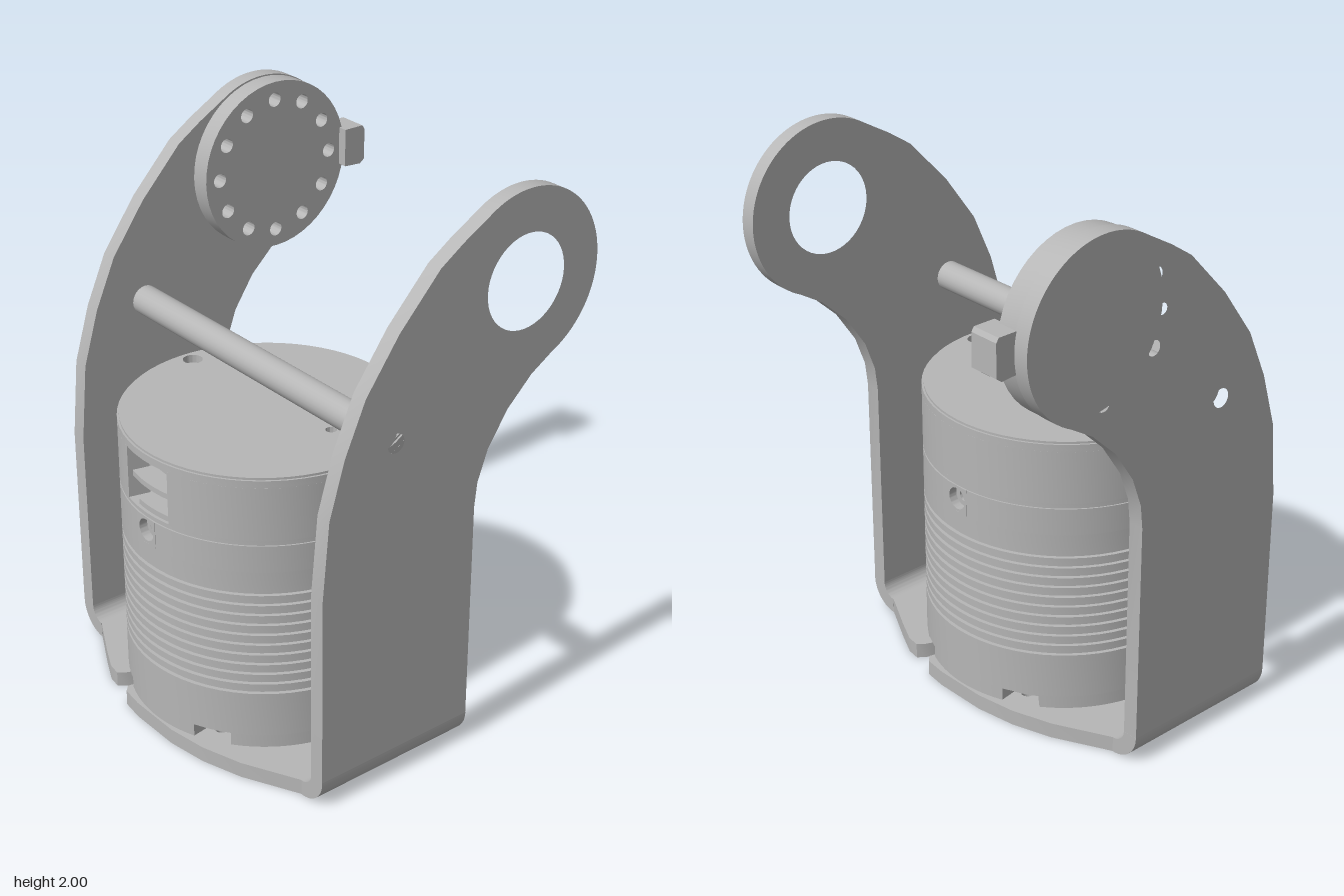
import * as THREE from 'three';
import { toCreasedNormals } from 'three/addons/utils/BufferGeometryUtils.js';

const CX = -0.197;            // axis of the motor and base
const R = 0.497;              // motor radius
const T = 0.058;              // bracket thickness
const PIVOT = [0.305, 1.685]; // arm pivot

export function createModel() {
  const root = new THREE.Group();
  const grey = new THREE.MeshStandardMaterial({ color: 0xb6b6b6 });
  grey.name = 'metal grey';

  const add = (name, geo, parent = root) => {
    const mesh = new THREE.Mesh(toCreasedNormals(geo, 0.5), grey);
    mesh.name = name;
    parent.add(mesh);
    return mesh;
  };
  const extrude = (shape, depth, seg = 24) =>
    new THREE.ExtrudeGeometry(shape, { depth, bevelEnabled: false, curveSegments: seg });
  // plan shape (x, z) raised from y0 to y1
  const slab = (shape, y0, y1, seg = 32) =>
    extrude(shape, y1 - y0, seg).rotateX(Math.PI / 2).translate(0, y1, 0);
  const poly = (pts) => new THREE.Shape(pts.map((p) => new THREE.Vector2(...p)));
  const disc = (x, y, r) => new THREE.Shape().absarc(x, y, r, 0, Math.PI * 2, false);
  const hole = (shape, x, y, r) =>
    shape.holes.push(new THREE.Path().absarc(x, y, r, 0, Math.PI * 2, true));
  const polarHole = (shape, x, y, rad, deg, r) => {
    const a = THREE.MathUtils.degToRad(deg);
    hole(shape, x + rad * Math.cos(a), y + rad * Math.sin(a), r);
  };

  // ---- Curved bracket arms ----
  const armShape = () => {
    const s = poly([
      [0.12, 0.11], [-0.515, 0.11], [-0.515, 0.82], [-0.49, 1.1], [-0.43, 1.3], [-0.35, 1.48],
      [-0.22, 1.66], [-0.06, 1.83], [0.03, 1.89],
    ]);
    s.absarc(...PIVOT, 0.315, 2.14, -1.13, true);
    [[0.35, 1.345], [0.25, 1.25], [0.17, 1.13], [0.13, 1.02], [0.12, 0.93]]
      .forEach((p) => s.lineTo(...p));
    hole(s, -0.225, 1.285, 0.034);
    return s;
  };
  const front = armShape();
  hole(front, ...PIVOT, 0.165);
  add('frontArm', extrude(front, T).translate(0, 0, 0.71 - T));

  const back = armShape();
  [30, 90, 150, 210, 270, 330].forEach((d) => polarHole(back, ...PIVOT, 0.245, d, 0.027));
  [60, 180].forEach((d) => polarHole(back, ...PIVOT, 0.245, d, 0.02));
  add('backArm', extrude(back, T).translate(0, 0, -0.71));

  // Drive disc and its plug on the back arm
  const boss = disc(0.31, 1.685, 0.31);
  for (let i = 0; i < 12; i++) polarHole(boss, ...PIVOT, 0.245, i * 30, 0.026);
  add('driveDisc', extrude(boss, 0.072).translate(0, 0, -0.652));
  const plug = poly([[0.6, 1.62], [0.67, 1.615], [0.69, 1.63], [0.69, 1.745], [0.68, 1.76], [0.6, 1.76]]);
  add('sidePlug', extrude(plug, 0.11).translate(0, 0, -0.655));

  // Cross rod with bored ends
  const rod = [[0, -0.55], [0.024, -0.55], [0.024, -0.652], [0.053, -0.652],
    [0.053, 0.652], [0.024, 0.652], [0.024, 0.55], [0, 0.55]].map((p) => new THREE.Vector2(...p));
  add('crossRod', new THREE.LatheGeometry(rod, 24).rotateX(Math.PI / 2).translate(-0.225, 1.285, 0));

  // ---- Base plate and bends, centred on the motor axis ----
  const base = new THREE.Group();
  base.name = 'base';
  base.position.x = CX;
  root.add(base);
  const half = [
    [0.317, -0.6], [0.42, -0.4], [0.47, -0.25], [0.495, -0.1], [0.497, 0.1], [0.487, 0.185],
    [0.465, 0.208], [0.385, 0.19], [0.37, 0.23], [0.39, 0.265], [0.425, 0.28], [0.45, 0.3],
    [0.443, 0.35], [0.4, 0.44], [0.317, 0.6],
  ];
  const plate = poly([...half, ...half.map(([x, z]) => [-x, -z])]);
  hole(plate, 0, 0, 0.33);
  [78, 102, 258, 282, 52, 232, 150, 330].forEach((d) => polarHole(plate, 0, 0, 0.41, d, 0.024));
  add('basePlate', slab(plate, 0, T), base);

  for (const turn of [0, Math.PI]) {
    const bend = new THREE.Shape();
    bend.absarc(0.6, 0.11, 0.11, -Math.PI / 2, 0, false);
    bend.absarc(0.6, 0.11, 0.11 - T, 0, -Math.PI / 2, true);
    const g = extrude(bend, 0.635, 12).rotateY(-Math.PI / 2).translate(0.3175, 0, 0);
    add('bend', g, base).rotation.y = turn;
  }

  // ---- Motor ----
  const motor = new THREE.Group();
  motor.name = 'motor';
  motor.position.x = CX;
  root.add(motor);

  // Mounting ring seen through the base
  const ring = disc(0, 0, 0.29);
  hole(ring, 0, 0, 0.14);
  for (let i = 0; i < 10; i++) polarHole(ring, 0, 0, 0.215, i * 36 + 18, 0.018);
  add('mountingRing', slab(ring, 0.018, 0.064), motor);

  // Foot with four screw recesses
  const foot = [];
  for (let i = 0; i < 180; i++) {
    const d = i * 2;
    const inNotch = [30, 150, 210, 330].some((n) => Math.abs(d - n) <= 7);
    const r = inNotch ? 0.43 : R - 0.004;
    const a = THREE.MathUtils.degToRad(d);
    foot.push([r * Math.cos(a), r * Math.sin(a)]);
  }
  const footShape = poly(foot);
  hole(footShape, 0, 0, 0.14);
  add('motorFoot', slab(footShape, 0.064, 0.115), motor);

  // Finned body with a bore underneath
  const body = [[0, 0.5], [0.14, 0.5], [0.14, 0.115], [R, 0.115], [R, 0.285]];
  for (let i = 0; i < 11; i++) {
    const y = 0.285 + i * 0.039;
    body.push([R - 0.014, y], [R - 0.014, y + 0.014], [R, y + 0.014], [R, y + 0.039]);
  }
  body.push([R, 0.765], [0, 0.765]);
  add('finnedBody', new THREE.LatheGeometry(body.map((p) => new THREE.Vector2(...p)), 64), motor);

  // Hollow wall piece between two angles
  const wall = (name, a0, a1, y0, y1, r0 = 0.42, r1 = R) => {
    const s = new THREE.Shape();
    s.absarc(0, 0, r1, a0, a1, false);
    s.absarc(0, 0, r0, a1, a0, true);
    return add(name, slab(s, y0, y1, 48), motor);
  };

  // Band with a countersunk through hole on each side
  const gap = 0.1;
  for (const turn of [0, Math.PI]) {
    wall('screwBand', gap + turn, Math.PI - gap + turn, 0.765, 0.865);
    for (const [r, x0, x1] of [[0.04, 0.465, R - 0.001], [0.021, 0.42, 0.465]]) {
      const w = 0.0496;
      const s = poly([[-w, 0.765], [w, 0.765], [w, 0.865], [-w, 0.865]]);
      hole(s, 0, 0.815, r);
      add('screwSeat', extrude(s, x1 - x0).rotateY(Math.PI / 2).translate(x0, 0, 0), motor).rotation.y = turn;
    }
  }
  add('seam', slab(disc(0, 0, R - 0.005), 0.865, 0.872), motor);
  add('seamRim', slab(disc(0, 0, R), 0.872, 0.885), motor);

  // Upper housing with a socket window on the -x side
  const win = 0.23;
  wall('upperHousing', win - Math.PI, Math.PI - win, 0.885, 1.08);
  add('socketBack', new THREE.CylinderGeometry(0.4, 0.4, 0.195, 48).translate(0, 0.9825, 0), motor);
  wall('socketBar', Math.PI - win, Math.PI + win, 0.965, 0.985, 0.39, 0.48);
  wall('socketLedge', Math.PI - win, Math.PI + win * 0.5, 0.885, 0.905, 0.39, 0.485);

  // Lid with shallow holes
  add('lidBase', slab(disc(0, 0, R), 1.08, 1.085), motor);
  const lid = disc(0, 0, R);
  const rim = disc(0, 0, R - 0.007);
  for (const s of [lid, rim]) {
    hole(s, 0.02, 0.44, 0.035);
    hole(s, 0.02, -0.44, 0.035);
    hole(s, 0.072, 0.27, 0.019);
  }
  add('lid', slab(lid, 1.085, 1.107), motor);
  add('lidTop', slab(rim, 1.107, 1.115), motor);

  return root;
}
